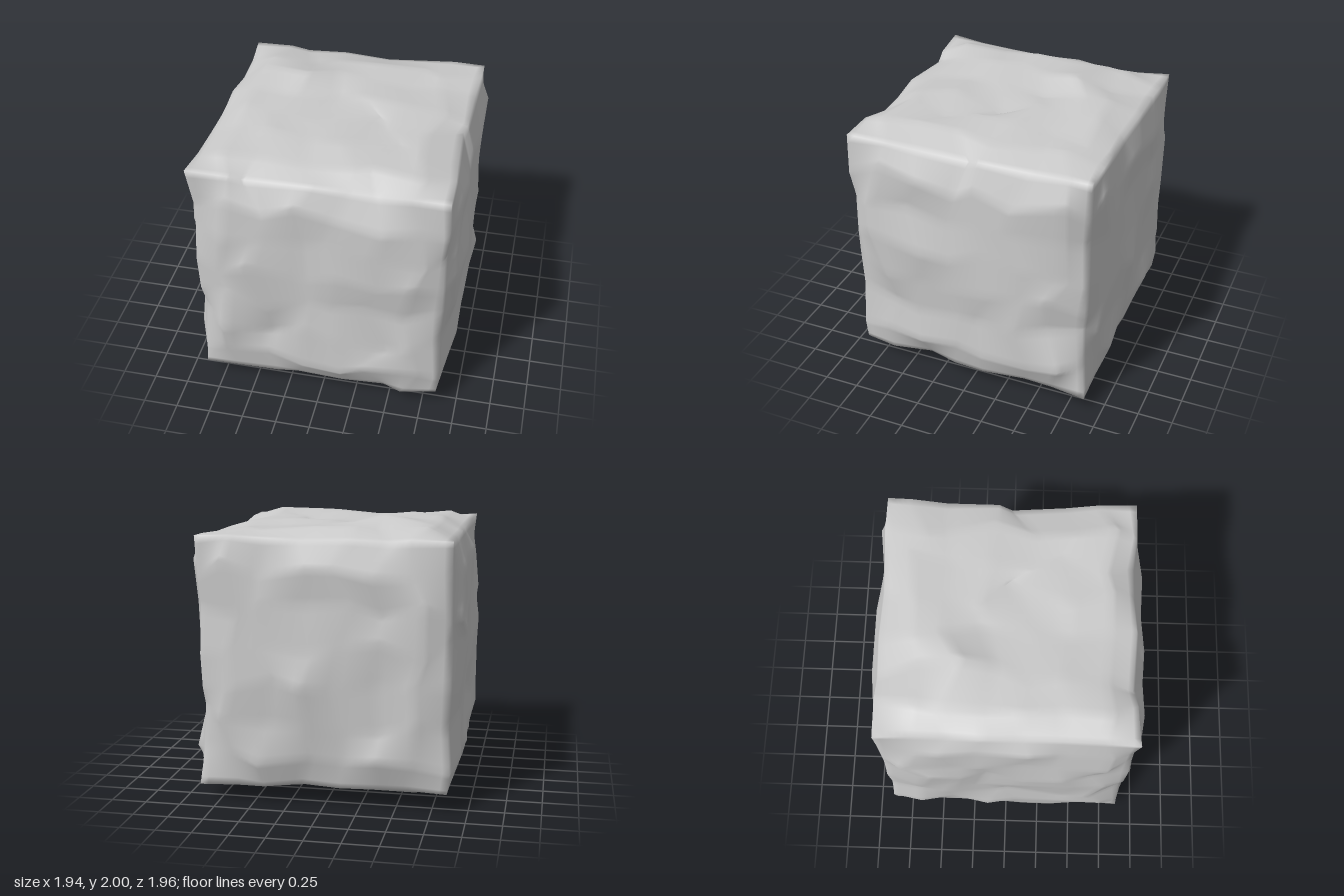
import * as THREE from 'three';
import { mergeVertices } from 'three/addons/utils/BufferGeometryUtils.js';

const HALF = 0.92, RADIUS = 0.2, CELLS = 7, SUBDIVISIONS = 5;

function seeded(seed) {
  return () => {
    seed = (seed * 16807) % 2147483647;
    return seed / 2147483647;
  };
}

// Point and outward normal on the rounded block beneath a point of the plain cube
function roundBlock(p) {
  const k = HALF - RADIUS;
  const core = p.clone().clamp(new THREE.Vector3(-k, -k, -k), new THREE.Vector3(k, k, k));
  const n = p.clone().sub(core).normalize();
  return { p: core.addScaledVector(n, RADIUS), n };
}

// Bulges, hollows, worn edges and corner knobs: x, y, z, height
const chips = [
  // front and back
  [-0.5, 0.2, HALF, 0.055], [-0.1, 0.1, HALF, 0], [0.3, -0.08, HALF, -0.01],
  [0.3, -0.65, HALF, 0.03], [-0.35, -0.45, HALF, -0.04], [-0.7, -0.45, HALF, 0.03],
  [0.15, -0.13, -HALF, 0.06], [-0.4, -0.45, -HALF, -0.03],
  // left and right
  [HALF, 0.1, 0.33, 0.05], [HALF, 0.4, -0.3, 0.02], [HALF, -0.4, 0.55, -0.03],
  [-HALF, 0.2, -0.55, 0.05], [-HALF, 0.15, 0.4, 0.04], [-HALF, -0.3, 0, -0.03],
  // top and underside
  [-0.35, HALF, -0.32, 0.08], [0.25, HALF, 0, -0.02], [-0.5, HALF, 0.15, 0.025],
  [0.35, -HALF, -0.45, 0.08], [-0.4, -HALF, 0.1, 0.02],
  // edges
  [-0.5, HALF, HALF, -0.03], [0.4, HALF, HALF, -0.03], [HALF, HALF, 0, -0.04],
  [-HALF, -0.3, HALF, -0.03], [HALF, -0.35, HALF, -0.02], [HALF, -0.3, -HALF, -0.03],
  // corners
  [-HALF, HALF, HALF, 0.1], [HALF, HALF, HALF, 0.07], [HALF, HALF, -HALF, 0.08],
  [-HALF, HALF, -HALF, 0.07], [-HALF, -HALF, HALF, 0.06], [HALF, -HALF, HALF, 0.03],
  [HALF, -HALF, -HALF, 0.08], [-HALF, -HALF, -HALF, 0.04],
].map(([x, y, z, height]) => ({ raw: new THREE.Vector3(x, y, z), height }));

const toLattice = (c) => (c / HALF + 1) / 2 * CELLS;

// Coarse cage of irregular nodes, whose patches become the facets of the rock
function makeCage() {
  const rand = seeded(2029);
  const spread = (a) => (rand() * 2 - 1) * a;
  const fixed = new Map();
  for (const chip of chips) {
    fixed.set(chip.raw.toArray().map((c) => Math.round(toLattice(c))).join(), chip);
  }
  const nodes = new Map();

  return (...index) => {
    const key = index.join();
    if (nodes.has(key)) return nodes.get(key);
    let raw, height;
    if (fixed.has(key)) {
      ({ raw, height } = fixed.get(key));
    } else {
      // Nodes slide within their face or edge, and lean towards nearby chips
      raw = new THREE.Vector3(...index.map((i) => {
        const jitter = i > 0 && i < CELLS ? spread(0.075) : 0;
        return (i / CELLS * 2 - 1) * HALF + jitter;
      }));
      height = spread(0.025);
      for (const chip of chips) {
        height += 0.4 * chip.height * Math.exp(-12 * raw.distanceToSquared(chip.raw));
      }
    }
    const { p, n } = roundBlock(raw);
    nodes.set(key, p.addScaledVector(n, height));
    return p;
  };
}

// Blend of the cage nodes around a point of the plain cube
function onCage(p, node) {
  const at = p.toArray().map((c) => Math.round(toLattice(c) * SUBDIVISIONS) / SUBDIVISIONS);
  const base = at.map((a) => Math.min(Math.floor(a), CELLS - 1));
  const out = new THREE.Vector3();
  for (let corner = 0; corner < 8; corner++) {
    const step = [corner & 1, (corner >> 1) & 1, corner >> 2];
    const weight = step.reduce((w, s, a) => {
      const t = at[a] - base[a];
      return w * (s ? t : 1 - t);
    }, 1);
    if (weight > 0) out.addScaledVector(node(...base.map((b, a) => b + step[a])), weight);
  }
  return out;
}

export function createModel() {
  const node = makeCage();
  const segments = CELLS * SUBDIVISIONS;
  let geometry = new THREE.BoxGeometry(2 * HALF, 2 * HALF, 2 * HALF, segments, segments, segments);
  geometry.deleteAttribute('uv');
  geometry.deleteAttribute('normal');
  geometry = mergeVertices(geometry, 1e-4);

  // Wrap the surface over the cage and stand it on the ground
  const pos = geometry.attributes.position;
  const v = new THREE.Vector3();
  for (let i = 0; i < pos.count; i++) {
    const p = onCage(v.fromBufferAttribute(pos, i), node);
    pos.setXYZ(i, p.x, p.y + 1, p.z);
  }
  geometry.computeVertexNormals();

  const rock = new THREE.Mesh(geometry, new THREE.MeshStandardMaterial({ color: 0xcccccc }));
  rock.name = 'rockBlock';
  const group = new THREE.Group();
  group.name = 'rock';
  group.add(rock);
  return group;
}
